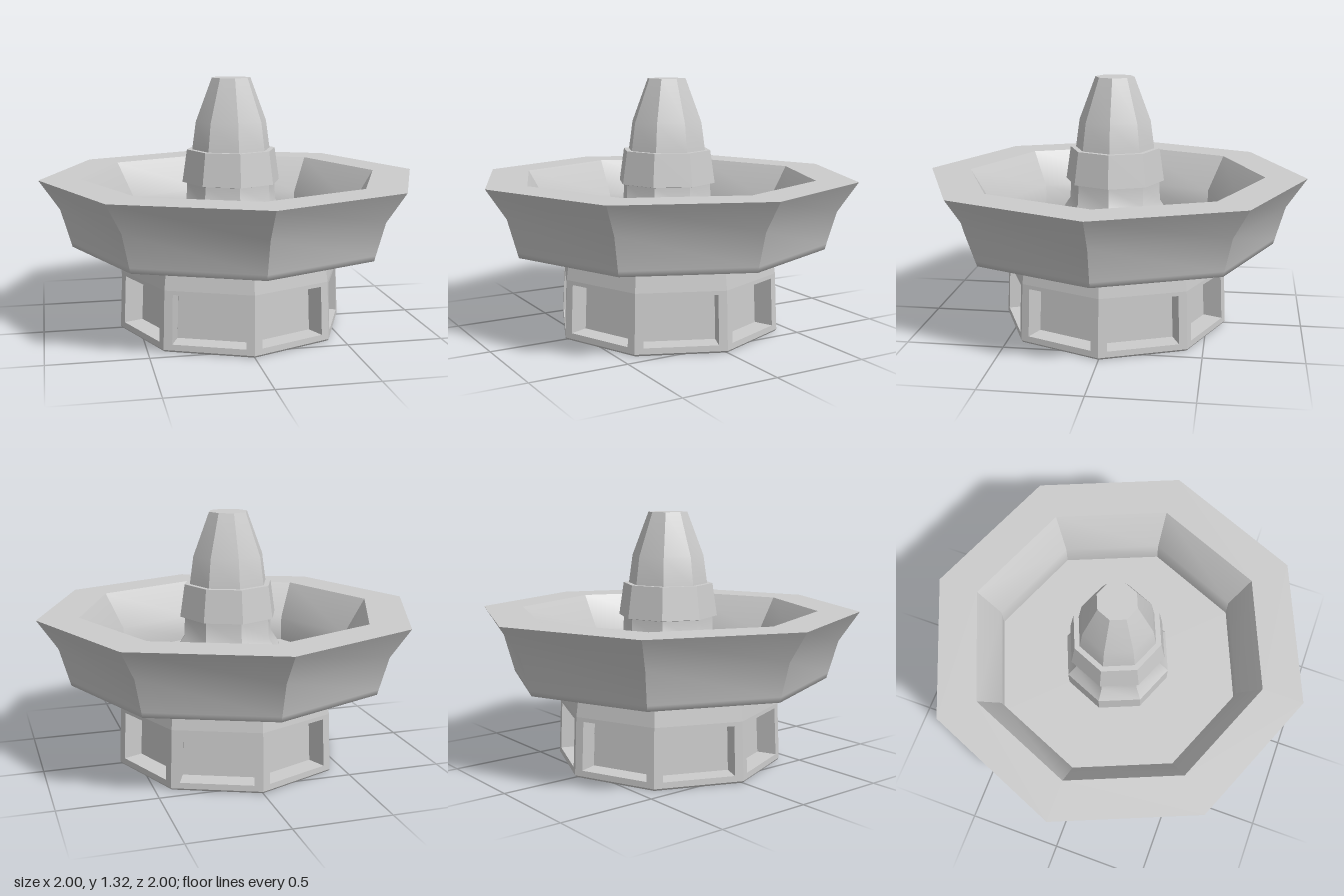
import * as THREE from 'three';

const SIDES = 8;
const STEP = 2 * Math.PI / SIDES;
const grey = new THREE.MeshStandardMaterial({ color: 0xcccccc });

// Repeat one side's geometry around the axis
function ringOfSides(name, geometry, firstAngle) {
  const group = new THREE.Group();
  group.name = name;
  for (let i = 0; i < SIDES; i++) {
    const side = new THREE.Mesh(geometry, grey);
    side.name = name + 'Side';
    side.rotation.y = firstAngle + i * STEP;
    group.add(side);
  }
  return group;
}

// Octagonal part from [radius, height] pairs, outside surface going up:
// smooth along the profile, sharp between neighbouring sides
function turned(name, profile) {
  const points = profile.map(([r, y]) => new THREE.Vector2(r, y));
  const geometry = new THREE.LatheGeometry(points, 1, 0, STEP);
  geometry.computeVertexNormals();
  return ringOfSides(name, geometry, 0);
}

// Flat octagonal face, facing up or down
function plate(name, radius, y, up) {
  const disc = new THREE.Mesh(new THREE.CircleGeometry(radius, SIDES), grey);
  disc.name = name;
  disc.rotation.x = up ? -Math.PI / 2 : Math.PI / 2;
  disc.position.y = y;
  return disc;
}

// One side of the pedestal: a leaning frame around a sunken panel
function panelGeometry(y0, r0, y1, r1) {
  const half = STEP / 2;
  // u runs 0..1 across the side, depth goes inwards; the side faces +z
  const at = (u, y, depth) => {
    const r = r0 + (r1 - r0) * (y - y0) / (y1 - y0);
    return new THREE.Vector3((u * 2 - 1) * r * Math.sin(half), y, r * Math.cos(half) - depth);
  };
  const ring = (u, low, high, depth) =>
    [at(u, low, depth), at(1 - u, low, depth), at(1 - u, high, depth), at(u, high, depth)];
  const outer = ring(0, y0, y1, 0);
  const opening = ring(0.095, 0.04, 0.29, 0);
  const back = ring(0.095, 0.04, 0.285, 0.105);

  const corners = [];
  const quad = (a, b, c, d) => corners.push(a, b, c, a, c, d);
  for (let i = 0; i < 4; i++) {
    const j = (i + 1) % 4;
    quad(outer[i], outer[j], opening[j], opening[i]);
    quad(opening[i], opening[j], back[j], back[i]);
  }
  quad(...back);
  const geometry = new THREE.BufferGeometry().setFromPoints(corners);
  geometry.computeVertexNormals();
  return geometry;
}

export function createModel() {
  const model = new THREE.Group();
  model.name = 'fountain';

  // Pedestal: bottom plate, panelled sides, plain collar
  const pedestal = new THREE.Group();
  pedestal.name = 'pedestal';
  pedestal.add(
    plate('bottomPlate', 0.59, 0, false),
    turned('bottomEdge', [[0.59, 0], [0.598, 0.01]]),
    ringOfSides('panels', panelGeometry(0.01, 0.598, 0.31, 0.585), STEP / 2),
    turned('collar', [[0.585, 0.31], [0.565, 0.45]]),
  );
  model.add(pedestal);

  // Basin: flared outside with a softened lower edge, flat rim, hollow inside
  const basin = new THREE.Group();
  basin.name = 'basin';
  basin.add(
    turned('basinOutside', [
      [0.56, 0.45], [0.8, 0.45], [0.838, 0.452], [0.846, 0.48], [0.895, 0.65], [1, 0.805],
    ]),
    turned('rim', [[1, 0.805], [0.785, 0.805]]),
    turned('basinInside', [[0.785, 0.805], [0.67, 0.615], [0.67, 0.48]]),
    plate('basinFloor', 0.67, 0.48, true),
  );
  model.add(basin);

  // Centre column: foot flaring out of a waist, drum, tapering spire
  const column = new THREE.Group();
  column.name = 'column';
  column.add(
    turned('foot', [[0.287, 0.48], [0.287, 0.6]]),
    turned('waist', [[0.287, 0.6], [0.24, 0.67], [0.235, 0.77]]),
    turned('drumUnderside', [[0.235, 0.77], [0.26, 0.775]]),
    turned('drum', [[0.26, 0.775], [0.235, 0.945]]),
    plate('drumTop', 0.235, 0.945, true),
    turned('spire', [[0.207, 0.945], [0.187, 1.09], [0.102, 1.315]]),
    plate('spireTop', 0.102, 1.315, true),
  );
  model.add(column);

  return model;
}
